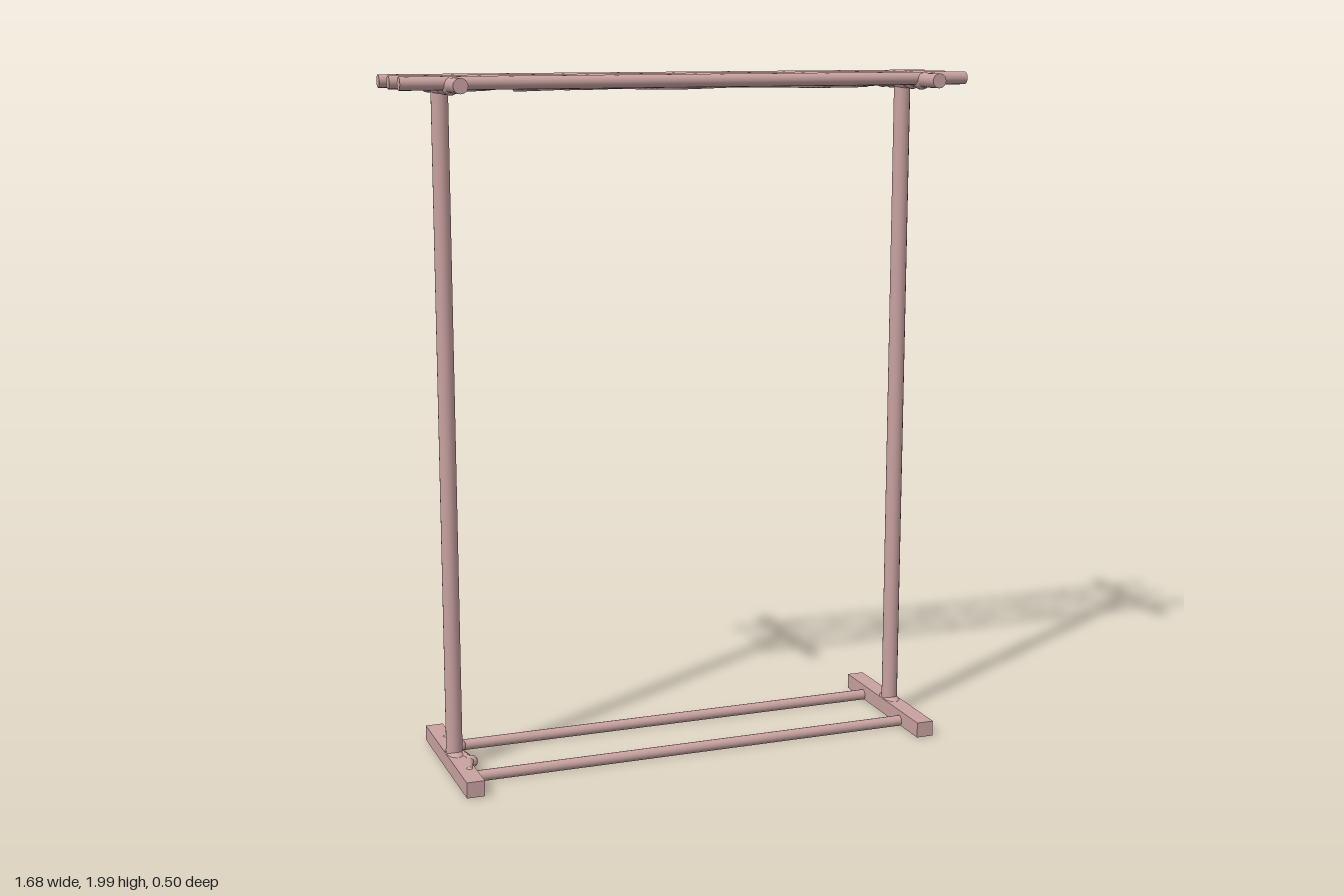
import * as THREE from 'three';

export function createModel() {
  const group = new THREE.Group();
  const wood = new THREE.MeshStandardMaterial({ color: 0xc8a2a0 });
  wood.name = 'dustyRoseWood';

  const add = (name, geometry, x, y, z) => {
    const mesh = new THREE.Mesh(geometry, wood);
    mesh.name = name;
    mesh.position.set(x, y, z);
    group.add(mesh);
    return mesh;
  };
  // round pole along the chosen axis
  const pole = (name, axis, radius, length, x, y, z) => {
    const geometry = new THREE.CylinderGeometry(radius, radius, length, 16);
    if (axis === 'x') geometry.rotateZ(Math.PI / 2);
    if (axis === 'z') geometry.rotateX(Math.PI / 2);
    return add(name, geometry, x, y, z);
  };
  const lump = (name, x, y, z, sx, sy, sz) =>
    add(name, new THREE.SphereGeometry(1, 14, 10), x, y, z).scale.set(sx, sy, sz);
  // thin tapering-free twig through points
  const twig = (name, points, radius) => {
    const curve = new THREE.CatmullRomCurve3(
      points.map((p) => new THREE.Vector3(...p)), false, 'catmullrom', 0.25);
    add(name, new THREE.TubeGeometry(curve, points.length * 6, radius, 6), 0, 0, 0);
    for (const p of [points[0], points[points.length - 1]]) {
      lump(name + 'Tip', ...p, radius, radius, radius);
    }
  };

  // posts, feet and top cross pieces
  for (const x of [-0.7, 0.7]) {
    pole('post', 'y', 0.024, 1.92, x, 1.0, 0);
    add('foot', new THREE.BoxGeometry(0.052, 0.046, 0.495), x, 0.036, -0.002);
    pole('crossPiece', 'z', 0.021, 0.47, x, 1.976, 0.003);
    // bindings where the poles meet
    lump('postBinding', x, 1.968, 0, 0.029, 0.026, 0.034);
    for (const z of [-0.13, 0.125]) {
      lump('railBinding', x, 1.972, z, 0.025, 0.024, 0.03);
    }
    for (const z of [-0.07, 0.065]) {
      lump('crossKnot', x, 1.968, z, 0.024, 0.02, 0.03);
    }
    lump('postBase', x, 0.055, 0, 0.027, 0.013, 0.05);
  }

  // three long top rails and two base rails
  for (const z of [-0.135, -0.005, 0.125]) {
    pole('topRail', 'x', 0.0185, 1.68, 0, 1.9805, z);
  }
  for (const z of [-0.135, 0.125]) {
    pole('baseRail', 'x', 0.016, 1.38, 0, 0.027, z);
  }

  // twigs woven between the top rails, given as x, z pairs
  const vines = [
    [[-0.7, -0.12], [-0.62, -0.11], [-0.55, -0.068], [-0.49, -0.06], [-0.42, -0.102],
      [-0.27, -0.035], [-0.2, 0], [-0.05, 0.107], [0.15, 0], [0.36, -0.115],
      [0.47, -0.12], [0.54, -0.065], [0.6, -0.015], [0.68, 0]],
    [[-0.52, 0.12], [-0.36, 0.03], [-0.2, 0], [-0.1, -0.1], [-0.06, -0.085], [0.005, -0.05]],
    [[0.04, -0.054], [0.08, -0.06], [0.15, 0], [0.4, 0.108], [0.49, 0.11],
      [0.56, 0.055], [0.5, 0.015]],
    [[-0.69, 0.08], [-0.62, 0.055], [-0.56, 0.005]],
    [[-0.36, 0.03], [-0.31, 0.055], [-0.2, 0.005]],
  ];
  for (const path of vines) {
    twig('wovenTwig', path.map(([x, z]) => [x, 1.963, z]), 0.007);
  }
  lump('twigKnot', -0.345, 1.963, 0.03, 0.016, 0.009, 0.013);
  lump('twigKnot', 0.555, 1.963, 0.053, 0.013, 0.008, 0.01);

  // knotted twig along the inner side of the one foot
  twig('footTwig', [[-0.69, 0.05, -0.14], [-0.67, 0.05, -0.08], [-0.685, 0.055, -0.02],
    [-0.67, 0.05, 0.055], [-0.69, 0.05, 0.14]], 0.013);
  for (const z of [-0.08, 0.055]) {
    lump('footKnot', -0.665, 0.046, z, 0.02, 0.018, 0.02);
  }

  return group;
}
